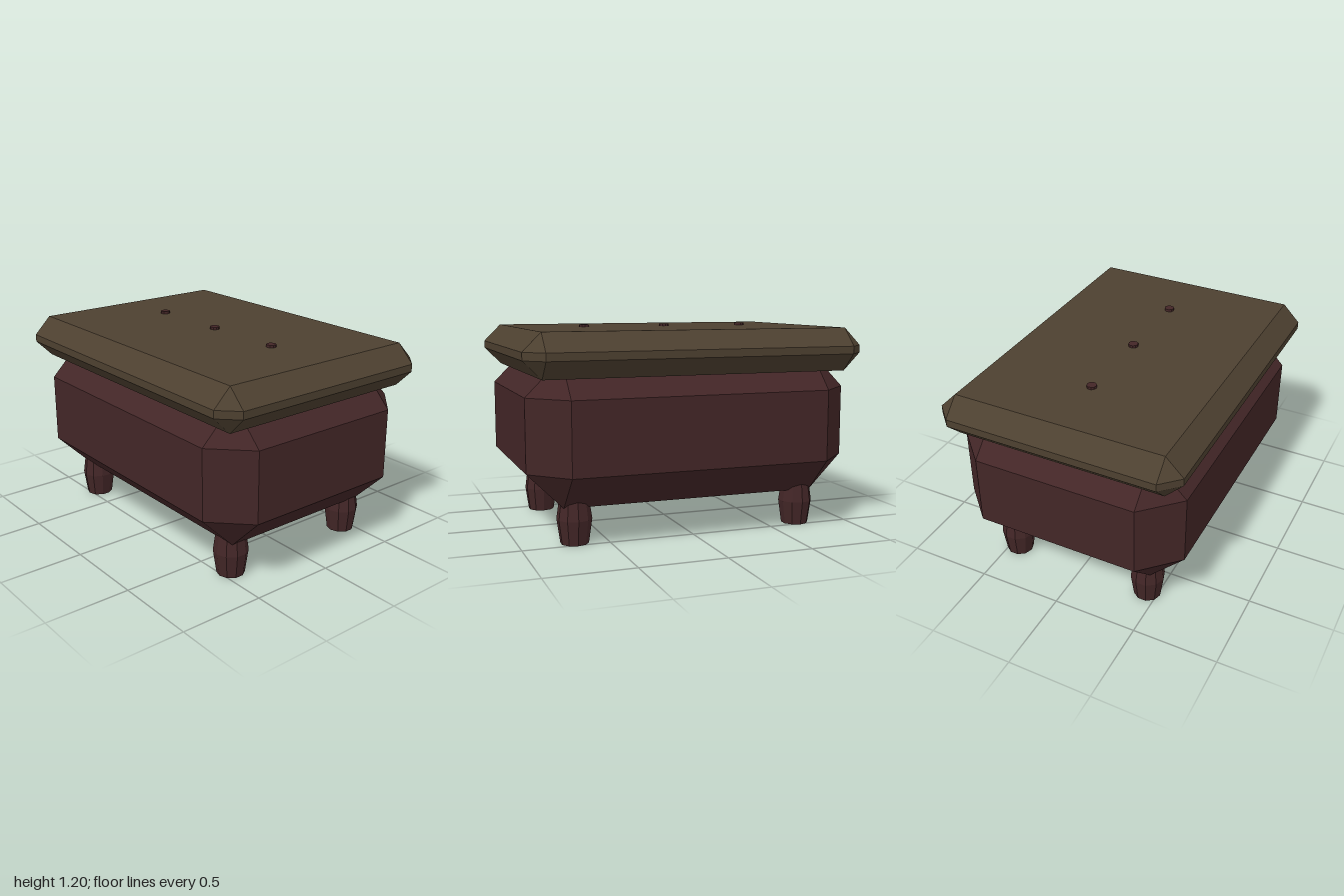
import * as THREE from 'three';
import { ConvexGeometry } from 'three/addons/geometries/ConvexGeometry.js';

// Box whose edges and corners are all cut at 45 degrees; h = half sizes, c = cut
function chamferedBox(hx, hy, hz, c) {
  const points = [];
  for (const sx of [-1, 1]) for (const sy of [-1, 1]) for (const sz of [-1, 1]) {
    points.push(
      new THREE.Vector3(sx * hx, sy * (hy - c), sz * (hz - c)),
      new THREE.Vector3(sx * (hx - c), sy * hy, sz * (hz - c)),
      new THREE.Vector3(sx * (hx - c), sy * (hy - c), sz * hz),
    );
  }
  return new ConvexGeometry(points);
}

export function createModel() {
  const group = new THREE.Group();
  const wood = new THREE.MeshStandardMaterial({ color: 0x432627, flatShading: true });
  wood.name = 'dark red';
  const fabric = new THREE.MeshStandardMaterial({ color: 0x4d4030, flatShading: true });
  fabric.name = 'olive brown';

  function add(name, geometry, material, x, y, z) {
    const mesh = new THREE.Mesh(geometry, material);
    mesh.name = name;
    mesh.position.set(x, y, z);
    group.add(mesh);
  }

  // Padded base and overhanging seat cushion
  add('base', chamferedBox(0.965, 0.4125, 0.69, 0.205), wood, 0, 0.6225, 0);
  add('cushion', chamferedBox(1, 0.125, 0.725, 0.103), fabric, 0, 1.06, 0);

  // Row of buttons on the cushion
  const button = new THREE.CylinderGeometry(0.029, 0.029, 0.03, 10);
  for (const x of [-0.505, 0, 0.505]) add('button', button, wood, x, 1.185, 0);

  // Four bulging feet
  const foot = new THREE.LatheGeometry([
    [0, 0], [0.08, 0], [0.1, 0.14], [0.08, 0.28], [0, 0.28],
  ].map(([r, y]) => new THREE.Vector2(r, y)), 10);
  for (const x of [-0.69, 0.69]) for (const z of [-0.438, 0.438]) add('foot', foot, wood, x, 0, z);

  return group;
}
